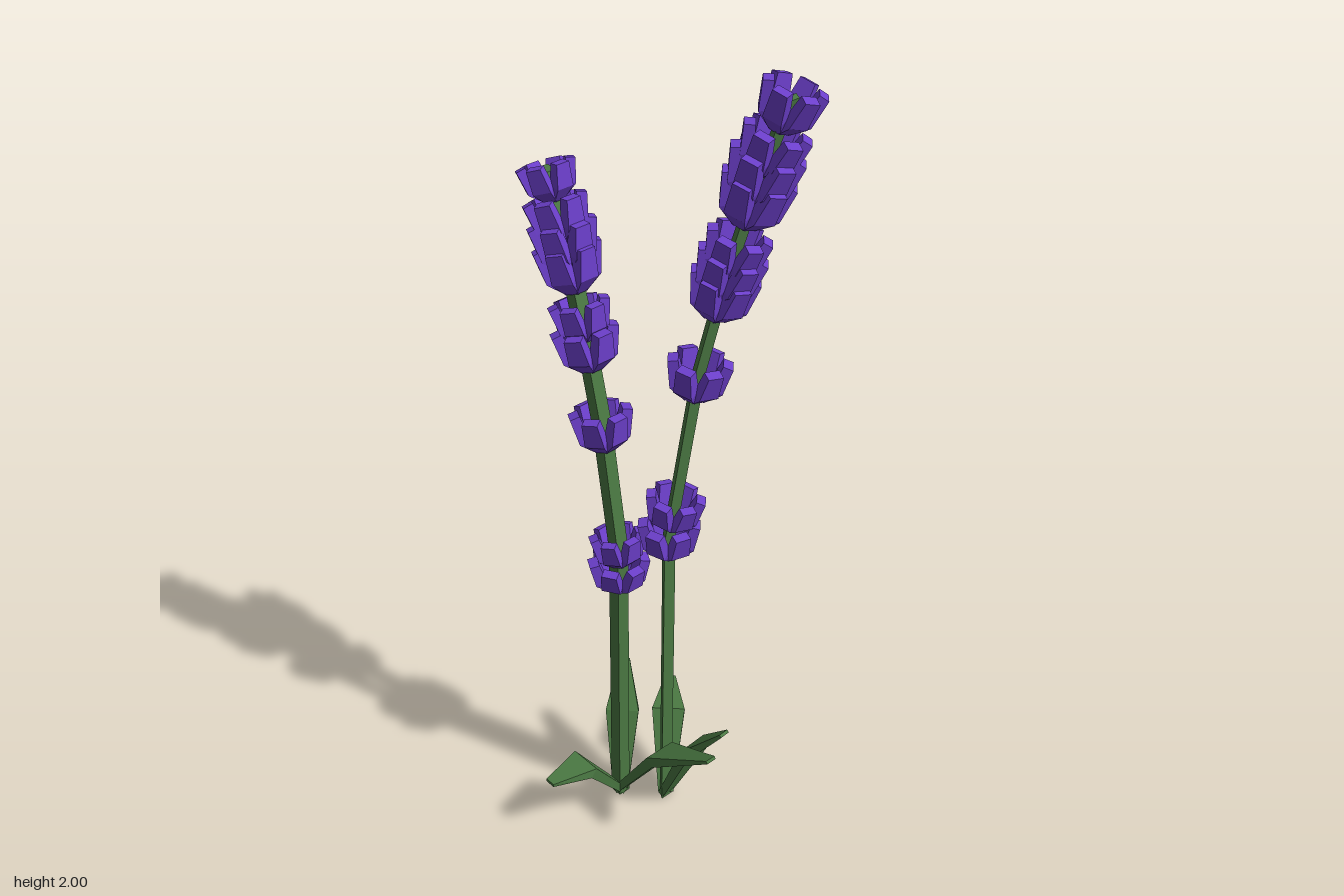
import * as THREE from 'three';
import { mergeGeometries } from 'three/addons/utils/BufferGeometryUtils.js';

const green = new THREE.MeshStandardMaterial({ name: 'leaf green', color: 0x4b7943, flatShading: true });
const purple = new THREE.MeshStandardMaterial({ name: 'flower purple', color: 0x6c3fcb, flatShading: true });
const V = (x, y, z) => new THREE.Vector3(x, y, z);

// Closed solid through a row of four-cornered sections
function loft(sections) {
  const pos = [];
  const quad = (a, b, c, d) => [a, b, c, a, c, d].forEach((p) => pos.push(p.x, p.y, p.z));
  for (let i = 0; i < sections.length - 1; i++) {
    const p = sections[i], q = sections[i + 1];
    for (let k = 0; k < 4; k++) {
      const m = (k + 1) % 4;
      quad(p[k], p[m], q[m], q[k]);
    }
  }
  const first = sections[0], last = sections[sections.length - 1];
  quad(first[3], first[2], first[1], first[0]);
  quad(...last);
  const geo = new THREE.BufferGeometry();
  geo.setAttribute('position', new THREE.Float32BufferAttribute(pos, 3));
  geo.computeVertexNormals();
  return geo;
}

const corners = (p, u, v) => [[1, 1], [-1, 1], [-1, -1], [1, -1]].map(
  ([a, b]) => p.clone().addScaledVector(u, a).addScaledVector(v, b));

// Blade growing along +x and up; rows are [reach, height, half width, half thickness]
function blade(rows) {
  return loft(rows.map(([r, y, w, t], i) => {
    const a = rows[Math.max(i - 1, 0)], b = rows[Math.min(i + 1, rows.length - 1)];
    const n = V(b[1] - a[1], a[0] - b[0], 0).normalize().multiplyScalar(t);
    return corners(V(r, y, 0), V(0, 0, w), n);
  }));
}

// Ring of six flared petals
const petal = blade([
  [0.014, -0.05, 0.015, 0.010],
  [0.046, -0.018, 0.024, 0.015],
  [0.062, 0.042, 0.019, 0.012],
]);
const whorlGeometry = mergeGeometries(
  [0, 1, 2, 3, 4, 5].map((i) => petal.clone().rotateY((i * Math.PI) / 3)));

// Point and direction of a stem at a given height
function along(path, y) {
  let i = 0;
  while (i < path.length - 2 && path[i + 1].y < y) i++;
  const a = path[i], b = path[i + 1];
  return {
    point: a.clone().lerp(b, (y - a.y) / (b.y - a.y)),
    dir: b.clone().sub(a).normalize(),
  };
}

function sprig({ name, path, u, v, turn, whorls, leaves }) {
  const group = new THREE.Group();
  group.name = name;

  const stem = new THREE.Mesh(loft(path.map((p) => corners(p, u, v))), green);
  stem.name = 'stem';
  group.add(stem);

  // Flower rings, tilted with the stem
  whorls.forEach(([y, size, stretch]) => {
    const { point, dir } = along(path, y);
    const ring = new THREE.Mesh(whorlGeometry, purple);
    ring.name = 'flowerWhorl';
    ring.position.copy(point);
    ring.quaternion.setFromUnitVectors(V(0, 1, 0), dir)
      .multiply(new THREE.Quaternion().setFromAxisAngle(V(0, 1, 0), turn));
    ring.scale.set(size, stretch, size);
    group.add(ring);
  });

  // Bent leaves around the foot
  leaves.forEach(([degrees, midR, midY, tipR, tipY]) => {
    const leaf = new THREE.Mesh(blade([
      [0, 0.006, 0.02, 0.009],
      [midR, midY, 0.043, 0.014],
      [tipR, tipY, 0.014, 0.004],
    ]), green);
    leaf.name = 'leaf';
    leaf.position.set(path[0].x, 0, path[0].z);
    leaf.rotation.y = THREE.MathUtils.degToRad(degrees);
    group.add(leaf);
  });
  return group;
}

export function createModel() {
  const model = new THREE.Group();
  model.name = 'flowerSprigs';

  model.add(sprig({
    name: 'shortSprig',
    path: [V(-0.02, 0, 0.04), V(-0.02, 0.8, 0.04), V(-0.075, 1.13, 0.04),
      V(-0.13, 1.35, 0.04), V(-0.195, 1.57, 0.04), V(-0.25, 1.71, 0.04)],
    u: V(0, 0, 0.0165), v: V(0.0165, 0, 0),
    turn: 0,
    whorls: [[0.735, 1, 0.85], [0.808, 0.9, 0.85], [1.125, 1, 1], [1.32, 1.05, 1],
      [1.385, 0.95, 0.9], [1.505, 1.05, 1.1], [1.555, 1.05, 1.1], [1.61, 0.98, 1], [1.688, 0.9, 0.85]],
    leaves: [[0, 0.16, 0.24, 0.335, 0.35], [-90, 0.125, 0.17, 0.235, 0.178], [135, 0.09, 0.2, 0.18, 0.3]],
  }));

  model.add(sprig({
    name: 'tallSprig',
    path: [V(0.07, 0, -0.04), V(0.07, 0.85, -0.04), V(0.11, 1.3, -0.085),
      V(0.15, 1.55, -0.122), V(0.197, 1.8, -0.172), V(0.232, 1.955, -0.208)],
    u: V(0, 0, 0.0175), v: V(0.0105, 0, 0.006),
    turn: Math.PI / 4,
    whorls: [[0.85, 1, 0.95], [0.93, 0.95, 0.9], [1.295, 1, 1], [1.51, 1.05, 1.1], [1.56, 1.05, 1.1],
      [1.61, 0.98, 1], [1.735, 1.1, 1.15], [1.79, 1.1, 1.15], [1.845, 1, 1], [1.94, 0.95, 1]],
    leaves: [[135, 0.122, 0.185, 0.23, 0.203], [4, 0.1, 0.23, 0.195, 0.342]],
  }));

  return model;
}
